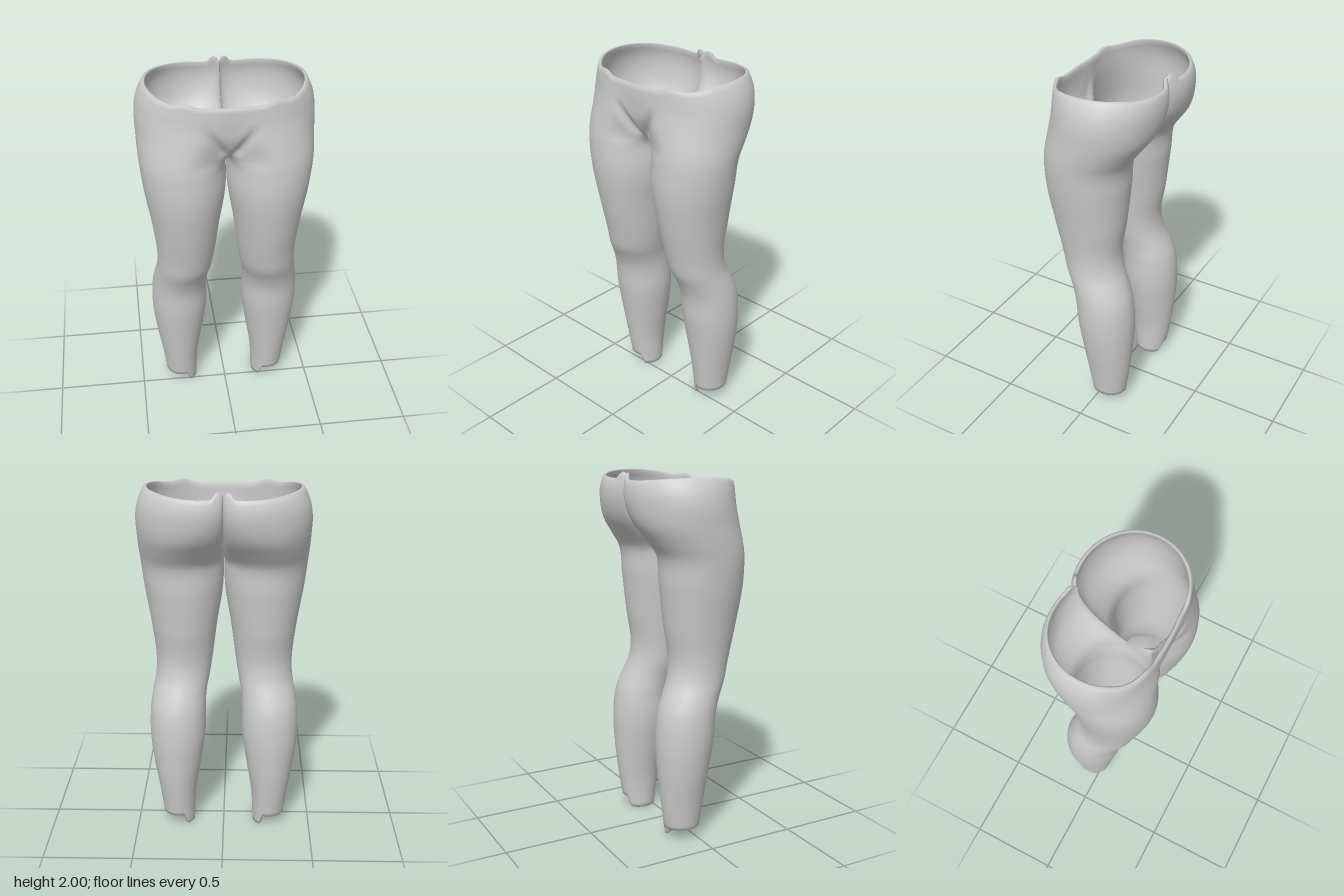
import * as THREE from 'three';
import { mergeVertices } from 'three/addons/utils/BufferGeometryUtils.js';

// Half-body profile: y, inner x, outer x, front z, back z, centre-line front z, centre-line back z
const PROFILE = [
  [0.00, 0.172, 0.345, 0.03, -0.15, -0.06, -0.06],
  [0.20, 0.162, 0.37, 0.06, -0.18, -0.06, -0.06],
  [0.40, 0.13, 0.402, 0.09, -0.2, -0.055, -0.055],
  [0.58, 0.105, 0.42, 0.118, -0.206, -0.045, -0.045],
  [0.74, 0.103, 0.415, 0.135, -0.187, -0.03, -0.03],
  [0.82, 0.098, 0.403, 0.162, -0.157, 0, 0],
  [0.90, 0.082, 0.388, 0.2, -0.122, 0.03, 0.03],
  [1.00, 0.066, 0.384, 0.225, -0.105, 0.05, 0.05],
  [1.20, 0.04, 0.405, 0.27, -0.13, 0.06, 0.06],
  [1.42, 0.006, 0.44, 0.304, -0.15, 0.06, 0.06],
  [1.58, 0, 0.458, 0.302, -0.165, 0.04, 0.04],
  [1.65, 0, 0.463, 0.295, -0.21, 0.19, -0.06],
  [1.74, 0, 0.466, 0.285, -0.272, 0.25, -0.16],
  [1.84, 0, 0.467, 0.273, -0.302, 0.268, -0.225],
  [1.92, 0, 0.452, 0.268, -0.303, 0.273, -0.248],
  [2.00, 0, 0.415, 0.262, -0.278, 0.266, -0.245],
];

// Waist edge height around the half: 0 front centre, 0.5 side, 1 back centre
const WAIST = [
  [0, 1.94], [0.2, 1.94], [0.26, 1.945], [0.29, 1.963], [0.34, 1.955], [0.42, 1.975], [0.5, 1.985],
  [0.6, 1.982], [0.7, 1.968], [0.8, 1.962], [0.85, 1.968], [0.88, 1.993], [0.93, 1.993], [0.96, 1.98], [1, 1.968],
];

const { smoothstep, lerp } = THREE.MathUtils;

function curveFrom(rows) {
  const size = rows[0].length - 1;
  return new THREE.CubicInterpolant(rows.map(r => r[0]), rows.flatMap(r => r.slice(1)), size, new Float32Array(size));
}
const profile = curveFrom(PROFILE);
const waist = curveFrom(WAIST);

// Point on the half shell at turn u and height y, moved inward by inset
function shellPoint(u, y, inset) {
  let [xi, xo, zf, zb, cf, cb] = profile.evaluate(Math.min(y, 2));
  const open = y > 1.58;
  if (open) {
    xi = 0;
    const d = Math.min(inset, Math.max(0, cf - cb) / 2);
    cf -= d;
    cb += d;
  } else {
    xi = Math.max(0.002, xi) + inset * smoothstep(1.58 - y, 0, 0.1);
    cf = cb = (cf + cb) / 2;
  }
  xo -= inset; zf -= inset; zb += inset;
  const torso = smoothstep(y, 1.58, 1.88);
  const mid = (xi + xo) / 2;
  const xf = lerp(mid, 0.15, torso), xb = lerp(mid, 0.14, torso), zo = (zf + zb) / 2;
  const q = Math.min(3, Math.floor(u * 4));
  const a = (u * 4 - q) * Math.PI / 2;
  const s = Math.sin(a), c = Math.cos(a);
  if (q === 0) {
    // Front inner quarter, softened across the groin with a shallow crease either side
    const x = xi + (xf - xi) * (1 - c);
    const z = cf + (zf - cf) * lerp(s, smoothstep(1 - c, 0, 1), smoothstep(y, 1.58, 1.7));
    const crease = smoothstep(y, 1.63, 1.69) * (1 - smoothstep(y, 1.74, 1.86));
    const g = (x - (y - 1.61) * 0.55) / 0.028;
    return [x, y, z - 0.022 * crease * Math.exp(-g * g)];
  }
  if (q === 1) return [xf + (xo - xf) * s, y, zo + (zf - zo) * c];
  if (q === 2) return [xb + (xo - xb) * c, y, zo + (zb - zo) * s];
  return [xi + (xb - xi) * (1 - s), y, cb + (zb - cb) * c];
}

// Ankle edge: a tongue hangs lower on the inner side
function ankle(u) {
  return 0.004 + 0.066 * smoothstep(Math.min(u, 1 - u), 0.15, 0.2);
}

function addHalf(side, positions, indices) {
  const U = 72, OUT = 90, IN = 70;
  const rows = [];
  for (let j = 0; j <= OUT; j++) rows.push([j / OUT, 0, 0]);
  rows.push([1, 0.01, 0.006]);                                  // rolled waist edge
  for (let j = IN; j >= 0; j--) rows.push([j / IN, 0.02, 0]);   // lining
  rows.push([0, 0, 0]);                                         // ankle edge
  const base = positions.length / 3;
  for (const [v, inset, lift] of rows) {
    for (let i = 0; i <= U; i++) {
      const u = i / U;
      const y = lerp(ankle(u), waist.evaluate(u)[0], v) + lift;
      const [x, py, z] = shellPoint(u, y, inset);
      positions.push(side * x, py, z);
    }
  }
  for (let j = 0; j < rows.length - 1; j++) {
    for (let i = 0; i < U; i++) {
      const a = base + j * (U + 1) + i, b = a + 1, c = a + U + 1, d = c + 1;
      if (side > 0) indices.push(a, b, d, a, d, c);
      else indices.push(a, d, b, a, c, d);
    }
  }
}

export function createModel() {
  const positions = [], indices = [];
  for (const side of [1, -1]) addHalf(side, positions, indices);
  let geometry = new THREE.BufferGeometry();
  geometry.setAttribute('position', new THREE.Float32BufferAttribute(positions, 3));
  geometry.setIndex(indices);
  geometry = mergeVertices(geometry, 1e-4);
  geometry.computeVertexNormals();

  const fabric = new THREE.MeshStandardMaterial({ color: 0xcccccc, side: THREE.DoubleSide });
  fabric.name = 'grey fabric';
  const mesh = new THREE.Mesh(geometry, fabric);
  mesh.name = 'leggings';

  const group = new THREE.Group();
  group.name = 'leggings model';
  group.add(mesh);
  return group;
}
